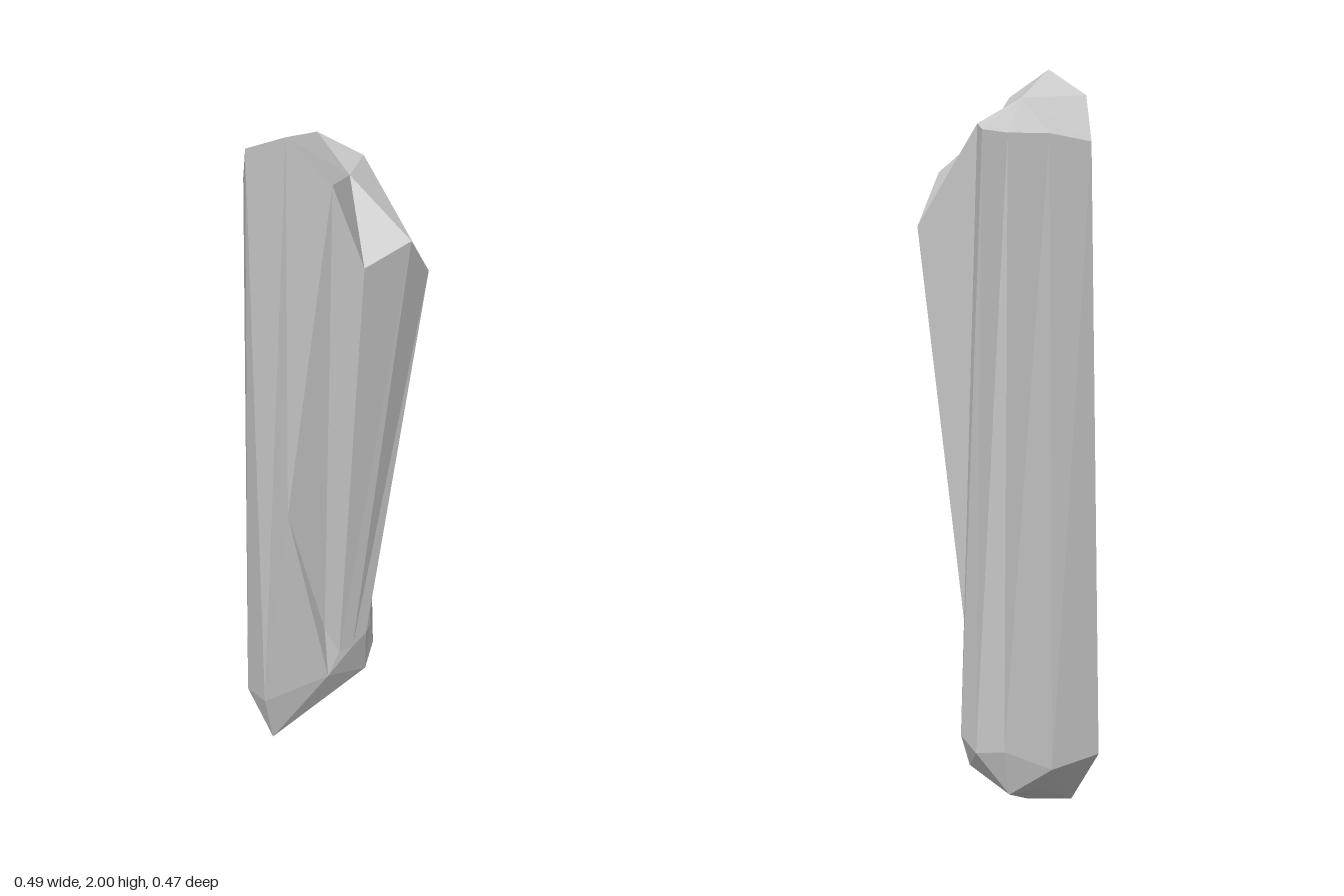
import * as THREE from 'three';

// Named corners of the crystal shard
const P = {
  // crown rim, counterclockwise seen from above
  A: [-0.08, 2.0, 0.145], B: [0.04, 1.93, 0.232], H: [0.11, 1.7, 0.19], I: [0.21, 1.73, 0.095],
  G: [0.245, 1.59, -0.02], F: [0.07, 1.855, -0.095], E: [0.05, 1.84, -0.135], K: [-0.03, 1.83, -0.226],
  L: [-0.12, 1.83, -0.125], D: [-0.215, 1.81, -0.02], C: [-0.19, 1.93, 0.07],
  // inner crown points
  N: [0.05, 1.85, 0.01], M: [-0.04, 1.92, -0.07],
  // lower rim
  t: [-0.085, 0.94, 0.178], u: [-0.01, 0.43, 0.03], w: [0.03, 0.33, 0.01], x: [0.065, 0.33, -0.02],
  y: [0.1, 0.36, -0.05], z: [0.108, 0.36, -0.09], p: [0.11, 0.24, -0.15], k: [0.06, 0.21, -0.2],
  j: [-0.022, 0.23, -0.235], l: [-0.135, 0.15, -0.132], r: [-0.245, 0.15, 0.01], s: [-0.175, 0.2, 0.11],
  // foot
  q: [-0.165, 0, 0.05], v: [0, 0.25, 0.03], c: [0.09, 0.15, -0.13], b: [-0.06, 0.04, -0.07],
  a: [-0.03, 0.1, -0.2], d: [-0.1, 0.09, -0.11],
};

// Triangles around one corner
function fan(out, centre, loop) {
  for (let i = 0; i < loop.length - 1; i++) out.push(centre, loop[i], loop[i + 1]);
}

// Long facets between two rims; repeated letters collapse to single triangles
function band(out, top, bottom) {
  for (let i = 0; i < top.length; i++) {
    const n = (i + 1) % top.length;
    if (bottom[i] !== bottom[n]) out.push(bottom[i], bottom[n], top[n]);
    if (top[i] !== top[n]) out.push(bottom[i], top[n], top[i]);
  }
}

function facetMesh(name, corners, material) {
  const geometry = new THREE.BufferGeometry();
  geometry.setAttribute('position', new THREE.Float32BufferAttribute(corners.flatMap((n) => P[n]), 3));
  geometry.computeVertexNormals();
  const mesh = new THREE.Mesh(geometry, material);
  mesh.name = name;
  return mesh;
}

export function createModel() {
  const group = new THREE.Group();
  group.name = 'crystalShard';
  const material = new THREE.MeshStandardMaterial({ color: 0xcccccc, flatShading: true });

  // Tapering column with the leaning side shoulder
  const column = [];
  band(column, 'ABHIGFFFEKLDC', 'tuwxyyzpkjlrs');
  group.add(facetMesh('column', column, material));

  // Sloped, broken crown
  const crown = [];
  fan(crown, 'N', 'BHIGFMAB');
  fan(crown, 'M', 'ANFEKLDCA');
  group.add(facetMesh('crown', crown, material));

  // Chipped foot and the tall front facet
  const foot = [];
  fan(foot, 'q', 'cvsrldbc');
  fan(foot, 'v', 'cxwuts');
  fan(foot, 'c', 'bakpzyx');
  fan(foot, 'a', 'bdljk');
  group.add(facetMesh('foot', foot, material));

  return group;
}
